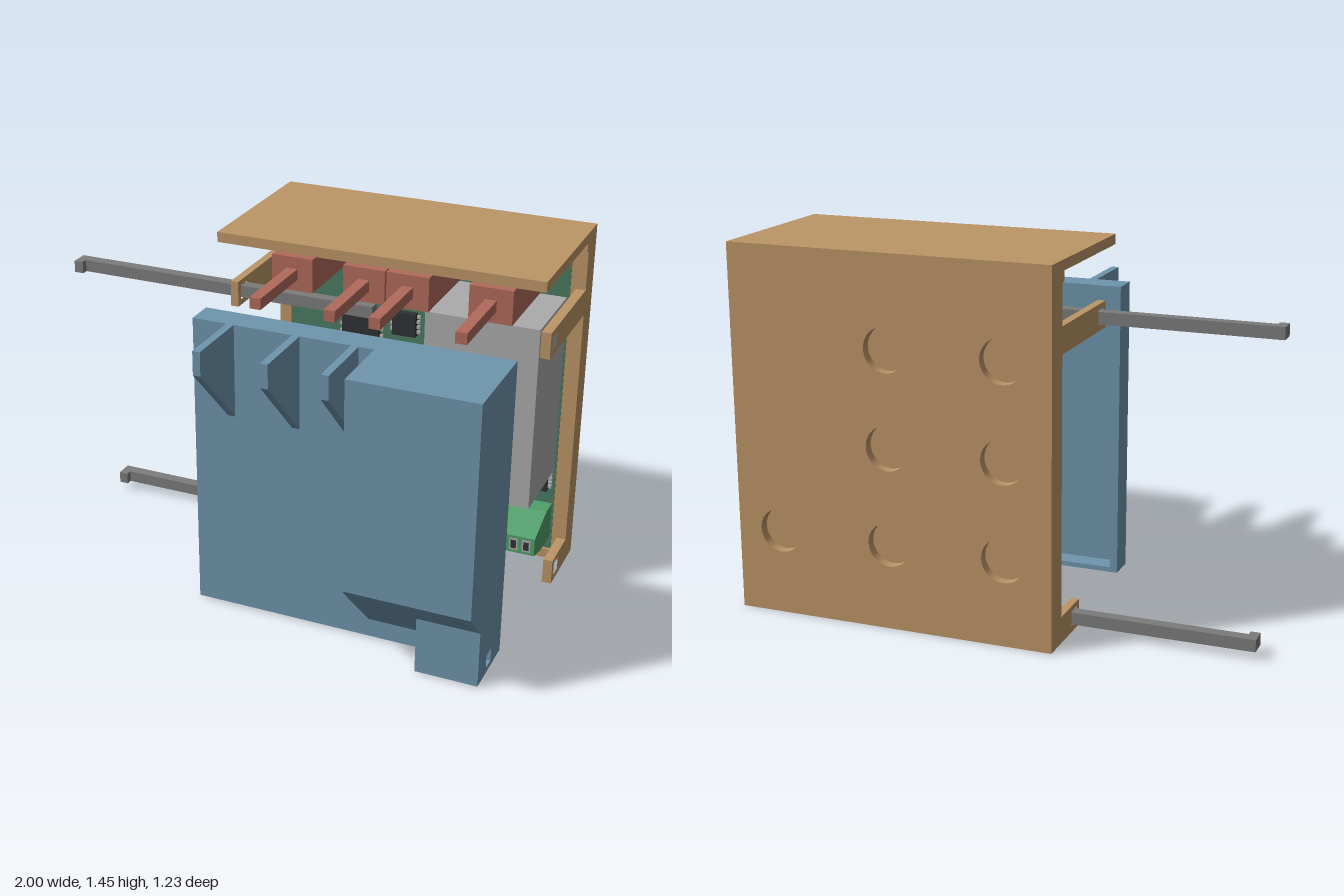
import * as THREE from 'three';

const mat = (name, color) => Object.assign(new THREE.MeshStandardMaterial({ color }), { name });

export function createModel() {
  const root = new THREE.Group();
  root.name = 'wallController';
  const tan = mat('tan plastic', 0xbd9567);
  const blue = mat('blue plastic', 0x6f95ad);
  const red = mat('red plastic', 0xb26a5b);
  const rodGrey = mat('dark grey plastic', 0x7c7c7c);
  const lightGrey = mat('light grey', 0xababab);
  const boardGreen = mat('board green', 0x4a7a62);
  const green = mat('terminal green', 0x509f6b);
  const dark = mat('dark chip', 0x303234);

  const group = (name, parent = root) => {
    const g = new THREE.Group();
    g.name = name;
    parent.add(g);
    return g;
  };
  const add = (parent, name, geo, m) => {
    const mesh = new THREE.Mesh(geo, m);
    mesh.name = name;
    parent.add(mesh);
    return mesh;
  };
  // Box given by its limits on each axis
  const box = (parent, name, m, [x0, x1], [y0, y1], [z0, z1]) => {
    const mesh = add(parent, name, new THREE.BoxGeometry(x1 - x0, y1 - y0, z1 - z0), m);
    mesh.position.set((x0 + x1) / 2, (y0 + y1) / 2, (z0 + z1) / 2);
    return mesh;
  };
  const rect = (a0, a1, b0, b1) => [[a0, b0], [a1, b0], [a1, b1], [a0, b1]];
  const opts = (depth) => ({ depth, bevelEnabled: false, curveSegments: 24 });
  // Side profile of [z, y] points extruded from x0 to x1
  const slab = (parent, name, m, pts, x0, x1, hole) => {
    const v = (list) => list.map(([z, y]) => new THREE.Vector2(-z, y));
    const s = new THREE.Shape(v(pts));
    if (hole) s.holes.push(new THREE.Path(v(hole)));
    const geo = new THREE.ExtrudeGeometry(s, opts(x1 - x0)).rotateY(Math.PI / 2).translate(x0, 0, 0);
    return add(parent, name, geo, m);
  };
  const faceShape = (pts) => new THREE.Shape(pts.map(([x, y]) => new THREE.Vector2(x, y)));

  // Back housing: outer plate with blind round recesses, floor and raised rim
  const housing = group('housing');
  const plate = faceShape(rect(-0.29, 1, 0, 1.445));
  const recesses = [[0.82, 0.335]];
  for (const x of [-0.1, 0.36]) for (const y of [0.337, 0.713, 1.087]) recesses.push([x, y]);
  for (const [x, y] of recesses) plate.holes.push(new THREE.Path().absarc(x, y, 0.086, 0, Math.PI * 2, true));
  add(housing, 'backPlate', new THREE.ExtrudeGeometry(plate, opts(0.04)).translate(0, 0, -0.618), tan);
  box(housing, 'floor', tan, [-0.29, 1], [0, 1.445], [-0.578, -0.555]);
  const rim = faceShape(rect(-0.29, 1, 0, 1.41));
  rim.holes.push(new THREE.Path(rect(-0.24, 0.94, 0.04, 1.34).map(([x, y]) => new THREE.Vector2(x, y))));
  add(housing, 'rim', new THREE.ExtrudeGeometry(rim, opts(0.04)).translate(0, 0, -0.555), tan);
  box(housing, 'roof', tan, [-0.29, 1], [1.405, 1.445], [-0.555, 0.06]);
  box(housing, 'roofLedge', tan, [-0.29, 1], [1.365, 1.405], [-0.515, -0.495]);

  // Side arms with square pin holes
  for (const [x0, x1] of [[-0.29, -0.258], [0.962, 1]]) {
    slab(housing, 'upperArm', tan, rect(-0.53, -0.048, 1.105, 1.208), x0, x1, rect(-0.13, -0.072, 1.128, 1.186));
    slab(housing, 'lowerArm', tan, rect(-0.53, -0.322, 0, 0.105), x0, x1, rect(-0.406, -0.348, 0.026, 0.084));
  }

  // Locking pins with hooked ends
  const pins = group('lockingPins');
  for (const [y, z] of [[1.133, -0.128], [0.031, -0.402]]) {
    box(pins, 'pin', rodGrey, [-1, 0.29], [y, y + 0.048], [z, z + 0.046]);
    box(pins, 'pinHook', rodGrey, [-1, -0.962], [y, y + 0.048], [z + 0.046, z + 0.072]);
  }

  // Circuit board and its components
  const board = group('circuitBoard');
  box(board, 'board', boardGreen, [-0.238, 0.938], [0.045, 1.338], [-0.545, -0.52]);
  box(board, 'powerSupply', lightGrey, [0.475, 0.928], [0.41, 1.165], [-0.52, -0.162]);
  const chips = [[0.0, 0.85, 0.16, 0.14], [0.22, 0.9, 0.1, 0.1], [-0.14, 0.65, 0.12, 0.18], [0.1, 0.5, 0.2, 0.2],
    [0.6, 0.3, 0.09, 0.08], [0.86, 0.32, 0.05, 0.08], [-0.12, 0.3, 0.14, 0.1], [0.3, 0.28, 0.09, 0.12]];
  for (const [x, y, w, h] of chips) {
    box(board, 'chip', dark, [x, x + w], [y, y + h], [-0.52, -0.49]);
    for (let i = 0; i < 4; i++) {
      const py = y + h * (0.12 + i * 0.22);
      box(board, 'chipLegs', lightGrey, [x - 0.015, x + w + 0.015], [py, py + 0.012], [-0.52, -0.507]);
    }
  }
  box(board, 'tallChip', lightGrey, [0.74, 0.82], [0.3, 0.405], [-0.52, -0.478]);
  box(board, 'smallSocket', lightGrey, [0.46, 0.58], [0.11, 0.18], [-0.52, -0.4]);
  box(board, 'blueSocket', blue, [0.62, 0.74], [0.11, 0.2], [-0.52, -0.34]);
  slab(board, 'terminalBlock', green,
    [[-0.52, 0.105], [-0.52, 0.256], [-0.44, 0.256], [-0.288, 0.206], [-0.288, 0.13], [-0.385, 0.105]], 0.755, 0.93);
  for (let i = 0; i < 3; i++) {
    const x = 0.772 + i * 0.053;
    box(board, 'terminalFrame', lightGrey, [x, x + 0.036], [0.142, 0.194], [-0.289, -0.286]);
    box(board, 'terminalOpening', dark, [x + 0.007, x + 0.029], [0.15, 0.186], [-0.287, -0.284]);
  }

  // Push buttons
  const buttons = group('pushButtons');
  for (const x of [-0.016, 0.277, 0.451, 0.774]) {
    box(buttons, 'switchBody', blue, [x - 0.06, x + 0.06], [1.24, 1.34], [-0.52, -0.466]);
    box(buttons, 'buttonBlock', red, [x - 0.084, x + 0.084], [1.223, 1.358], [-0.466, -0.022]);
    box(buttons, 'buttonRod', red, [x - 0.022, x + 0.022], [1.268, 1.312], [-0.022, 0.31]);
  }

  // Front cover: shallow open-backed tray
  const cover = group('frontCover');
  const [bot, top] = [0.005, 1.205];
  box(cover, 'coverFace', blue, [-0.258, 0.47], [bot, top], [0.31, 0.34]);
  box(cover, 'coverLowerFace', blue, [0.465, 0.72], [bot, 0.085], [0.31, 0.34]);
  box(cover, 'coverSide', blue, [-0.258, -0.228], [bot, top], [0.228, 0.32]);
  box(cover, 'coverTop', blue, [-0.258, 0.958], [top - 0.03, top], [0.228, 0.33]);
  box(cover, 'coverBottom', blue, [-0.258, 0.72], [bot, bot + 0.02], [0.228, 0.33]);

  // Raised pocket with sloped underside, and its lower box
  slab(cover, 'pocketShell', blue, [[0.31, top], [0.617, top], [0.617, 0.36], [0.34, 0.08], [0.31, 0.08],
    [0.31, 0.093], [0.587, 0.373], [0.587, top - 0.03], [0.31, top - 0.03]], 0.465, 0.712);
  slab(cover, 'pocketBoxShell', blue, [[0.31, top], [0.617, top], [0.617, 0.36], [0.493, 0.235], [0.493, bot],
    [0.228, bot], [0.228, bot + 0.02], [0.463, bot + 0.02], [0.463, 0.248], [0.587, 0.373],
    [0.587, top - 0.03], [0.31, top - 0.03]], 0.712, 0.958);
  slab(cover, 'pocketLeftWall', blue,
    [[0.31, top], [0.617, top], [0.617, 0.36], [0.34, 0.08], [0.31, 0.08]], 0.465, 0.49);
  const windowHole = rect(0.342, 0.398, 0.027, 0.083);
  slab(cover, 'pocketRightWall', blue, [[0.228, top], [0.617, top], [0.617, 0.36], [0.493, 0.235],
    [0.493, bot], [0.228, bot]], 0.93, 0.958, windowHole);
  slab(cover, 'lowerBoxInnerWall', blue,
    [[0.31, bot], [0.493, bot], [0.493, 0.235], [0.31, 0.05]], 0.712, 0.738, windowHole);

  // Front fins and the inner catch
  for (const x of [-0.104, 0.16, 0.39]) {
    slab(cover, 'fin', blue, [[0.33, top], [0.614, top], [0.614, 1.11], [0.34, 0.832], [0.33, 0.832]], x - 0.015, x + 0.015);
  }
  slab(cover, 'innerCatch', blue,
    [[0.31, 0.85], [0.228, 0.79], [0.213, 0.735], [0.213, 0.69], [0.31, 0.69]], 0.31, 0.413);
  return root;
}
